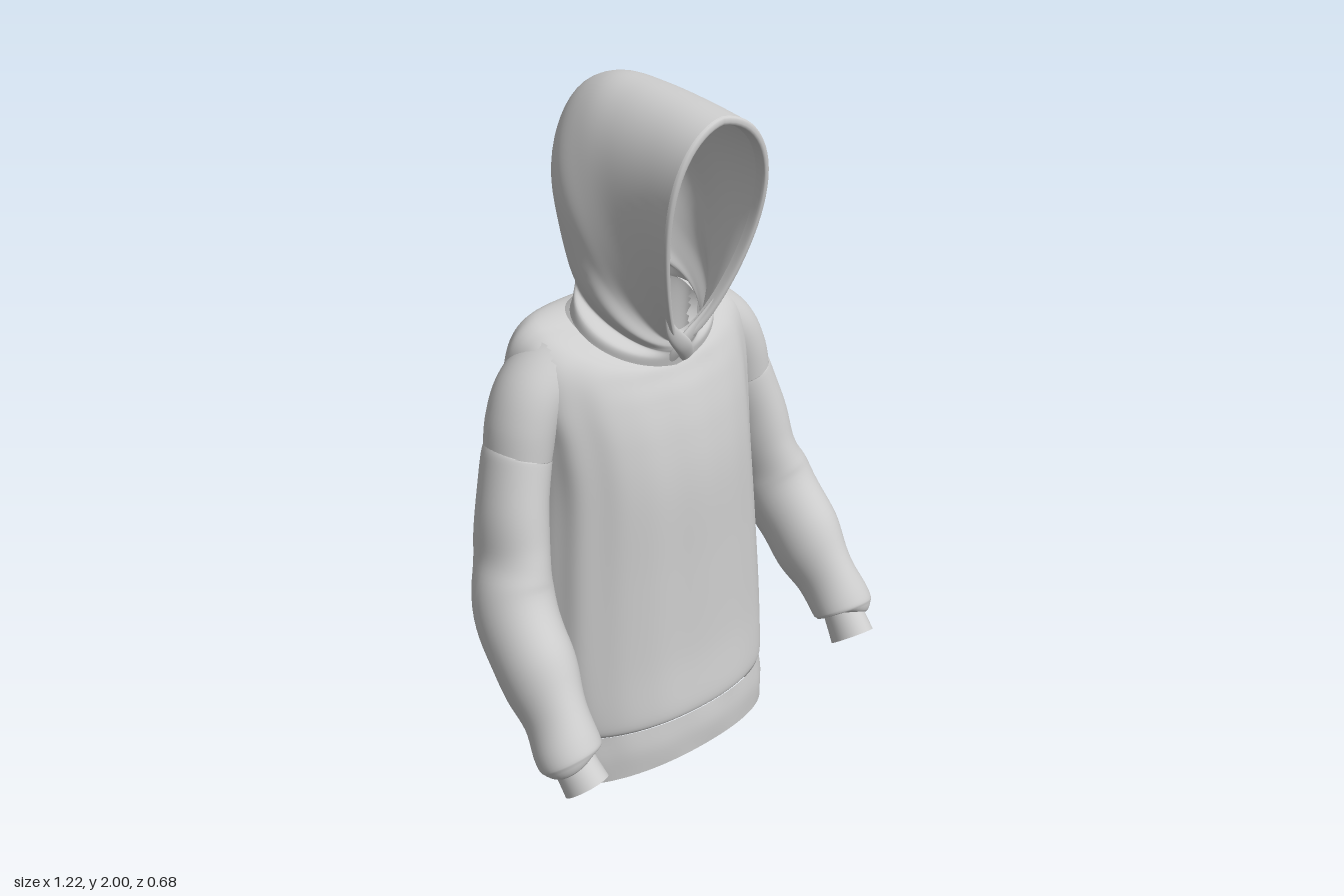
import * as THREE from 'three';

const cloth = new THREE.MeshStandardMaterial({ color: 0xcccccc, side: THREE.DoubleSide });
cloth.name = 'light grey cloth';

// Smooth interpolation through rows of numbers, t in 0..1
function sample(rows, t) {
  const f = Math.min(Math.max(t, 0), 1) * (rows.length - 1);
  const i = Math.min(Math.floor(f), rows.length - 2), k = f - i;
  const [a, b, c, d] = [i - 1, i, i + 1, i + 2].map(
    (n) => rows[Math.min(Math.max(n, 0), rows.length - 1)]);
  return b.map((_, j) => b[j] + 0.5 * k * (c[j] - a[j] + k * (2 * a[j] - 5 * b[j] + 4 * c[j] - d[j]
    + k * (3 * (b[j] - c[j]) + d[j] - a[j]))));
}

// Skin a surface through closed rings; point(t, angle) returns [x, y, z].
// Faces whose first corner satisfies cut(x, y, z) are left open.
function loft(name, point, rings, sides, cut = () => false) {
  const pos = [], idx = [];
  for (let i = 0; i <= rings; i++) {
    for (let j = 0; j < sides; j++) pos.push(...point(i / rings, (j / sides) * Math.PI * 2));
  }
  for (let i = 0; i < rings; i++) {
    for (let j = 0; j < sides; j++) {
      const a = i * sides + j, b = i * sides + (j + 1) % sides;
      if (cut(...pos.slice(a * 3, a * 3 + 3))) continue;
      idx.push(a, b, b + sides, a, b + sides, a + sides);
    }
  }
  const geo = new THREE.BufferGeometry();
  geo.setAttribute('position', new THREE.Float32BufferAttribute(pos, 3));
  geo.setIndex(idx);
  geo.computeVertexNormals();
  const mesh = new THREE.Mesh(geo, cloth);
  mesh.name = name;
  return mesh;
}

const softPow = (v, e) => Math.sign(v) * Math.abs(v) ** e;

// Torso ring rows: front y, side y, back y, half width, front z, middle z, back z,
// and the roundness of the back (lower is boxier)
function torsoLoft(name, rows, rings, fold, cut) {
  return loft(name, (t, a) => {
    const [yf, ys, yb, w, zf, zc, zb, round] = sample(rows, t);
    const front = Math.cos(a) > 0;
    const s = softPow(Math.sin(a), front ? 0.92 : round), c = softPow(Math.cos(a), front ? 0.95 : round);
    const ripple = 1 + fold * Math.sin(Math.PI * t) * (Math.sin(11 * a + 2 * t) + 0.7 * Math.sin(17 * a + 1));
    return [
      w * s * ripple,
      ys + (yf - yb) / 2 * c + ((yf + yb) / 2 - ys) * c * c,
      zc + (front ? zf - zc : zc - zb) * c * ripple,
    ];
  }, rings, 144, cut);
}

// Tube rows: x, y, z, radius across, radius in depth; side -1 mirrors it
function tubeLoft(name, rows, side, rings, fold = 0, cut = undefined) {
  const X = new THREE.Vector3(1, 0, 0);
  return loft(name, (t, a0) => {
    const a = a0 * side;
    const [x, y, z, rx, rz] = sample(rows, t);
    const p = sample(rows, t - 0.01), q = sample(rows, t + 0.01);
    const dir = new THREE.Vector3(q[0] - p[0], q[1] - p[1], q[2] - p[2]).normalize();
    const u = X.clone().addScaledVector(dir, -X.dot(dir)).normalize();
    const v = dir.clone().cross(u);
    const k = 1 + fold * Math.exp(-(((t - 0.42) / 0.22) ** 2)) * Math.sin(34 * t + 1.5 * Math.sin(a));
    const P = new THREE.Vector3(x, y, z)
      .addScaledVector(u, rx * k * Math.cos(a)).addScaledVector(v, rz * k * Math.sin(a));
    return [P.x * side, P.y, P.z];
  }, rings, 40, cut);
}

// Hood rows: chin z, chin y, crown z, crown y, half width, taper to the chin, forward bow
function hoodLoft(name, rows, rings, fold, ridge) {
  return loft(name, (t, a) => {
    const [cz, cy, pz, py, w, taper, bow] = sample(rows, t);
    const s = (1 - Math.cos(a)) / 2, dz = pz - cz, dy = py - cy, len = Math.hypot(dz, dy);
    const b = bow * Math.abs(Math.sin(a)), mid = Math.sin(Math.PI * t);
    const crease = 1 + fold * mid ** 2 * Math.sin(16 * t + 7 * s);
    const pinch = 1 - ridge * mid * s ** 4;
    return [
      w * Math.sin(a) * (1 + taper * (1.6 * s - 1)) * crease * pinch + 0.01 * Math.sin(Math.PI * s),
      cy + dy * s - b * dz / len,
      cz + dz * s + b * dy / len,
    ];
  }, rings, 72);
}

export function createModel() {
  const model = new THREE.Group();
  model.name = 'hoodie';

  // Body, open at the armholes, and the ribbed band below it
  model.add(torsoLoft('hemBand', [
    [0.12, 0.045, 0, 0.37, 0.2, -0.03, -0.21, 0.7],
    [0.19, 0.125, 0.065, 0.375, 0.203, -0.04, -0.245, 0.65],
    [0.255, 0.2, 0.13, 0.368, 0.196, -0.05, -0.268, 0.6],
  ], 8, 0.004));
  const armhole = (x, y, z) => Math.abs(x) > 0.3 && y > 1.09 && y < 1.27 && z > -0.19 && z < -0.06;
  model.add(torsoLoft('body', [
    [0.252, 0.197, 0.127, 0.364, 0.19, -0.05, -0.266, 0.6],
    [0.285, 0.24, 0.17, 0.38, 0.2, -0.06, -0.298, 0.5],
    [0.45, 0.42, 0.38, 0.385, 0.18, -0.07, -0.322, 0.42],
    [0.7, 0.7, 0.68, 0.367, 0.166, -0.08, -0.318, 0.38],
    [0.95, 0.95, 0.95, 0.347, 0.155, -0.09, -0.306, 0.38],
    [1.1, 1.1, 1.1, 0.35, 0.13, -0.1, -0.3, 0.4],
    [1.2, 1.22, 1.22, 0.362, 0.098, -0.12, -0.29, 0.48],
    [1.25, 1.33, 1.33, 0.35, 0.072, -0.13, -0.275, 0.6],
    [1.272, 1.382, 1.39, 0.295, 0.06, -0.125, -0.26, 0.72],
    [1.282, 1.385, 1.41, 0.2, 0.05, -0.11, -0.232, 0.9],
  ], 64, 0.007, armhole));

  // Hood, turning about the chin from the neckline to the face opening
  model.add(hoodLoft('hood', [
    [0.062, 1.274, -0.243, 1.406, 0.212, 0, 0.035],
    [0.067, 1.295, -0.245, 1.445, 0.202, 0, 0.035],
    [0.073, 1.315, -0.28, 1.5, 0.163, 0, 0.015],
    [0.078, 1.325, -0.322, 1.6, 0.171, 0, 0],
    [0.08, 1.335, -0.337, 1.73, 0.195, 0, 0],
    [0.08, 1.34, -0.325, 1.86, 0.213, 0.06, 0],
    [0.08, 1.345, -0.27, 1.95, 0.217, 0.18, 0],
    [0.08, 1.345, -0.17, 1.995, 0.207, 0.27, 0],
    [0.08, 1.345, -0.05, 1.995, 0.192, 0.32, 0.01],
    [0.08, 1.345, 0.1, 1.98, 0.176, 0.38, 0.02],
    [0.075, 1.34, 0.217, 1.962, 0.169, 0.42, 0.03],
  ], 60, 0.025, 0.25));
  model.add(hoodLoft('hoodRim', [
    [0.075, 1.34, 0.215, 1.963, 0.17, 0.42, 0.03],
    [0.083, 1.347, 0.222, 1.957, 0.165, 0.42, 0.03],
    [0.082, 1.365, 0.219, 1.942, 0.152, 0.42, 0.03],
    [0.06, 1.37, 0.19, 1.94, 0.15, 0.42, 0.03],
  ], 12, 0, 0));

  // Overlapping edges under the chin, one in front of the other
  const lap = (ahead, end) => [
    [-0.082, 1.45, 0.112, 0.004, 0.003],
    [-0.05, 1.39, 0.095 + ahead, 0.018, 0.008],
    [0, 1.335, 0.081 + ahead, 0.024, 0.01],
    [end, 1.29, 0.06 + ahead, 0.02, 0.008],
  ];
  model.add(tubeLoft('hoodFrontLap', lap(0.005, 0.035), 1, 20));
  model.add(tubeLoft('hoodBackLap', lap(-0.003, 0.015), -1, 20));

  // Dropped shoulders, sleeves and cuffs
  const insideBody = (x) => Math.abs(x) < 0.3;
  for (const side of [1, -1]) {
    const arm = new THREE.Group();
    arm.name = side > 0 ? 'leftArm' : 'rightArm';
    arm.add(tubeLoft('shoulder', [
      [0.25, 1.305, -0.13, 0.088, 0.1],
      [0.33, 1.235, -0.125, 0.092, 0.106],
      [0.373, 1.16, -0.118, 0.089, 0.104],
      [0.395, 1.08, -0.112, 0.084, 0.099],
    ], side, 24, 0, insideBody));
    arm.add(tubeLoft('sleeve', [
      [0.393, 1.09, -0.112, 0.082, 0.096],
      [0.4, 1.07, -0.11, 0.088, 0.101],
      [0.435, 0.95, -0.092, 0.088, 0.108],
      [0.455, 0.83, -0.072, 0.091, 0.12],
      [0.482, 0.73, -0.045, 0.101, 0.121],
      [0.5, 0.62, 0.03, 0.107, 0.124],
      [0.505, 0.53, 0.1, 0.097, 0.118],
      [0.512, 0.455, 0.165, 0.083, 0.1],
      [0.52, 0.39, 0.22, 0.09, 0.092],
      [0.52, 0.366, 0.238, 0.084, 0.083],
      [0.518, 0.358, 0.243, 0.055, 0.058],
    ], side, 60, 0.035));
    arm.add(tubeLoft('cuff', [
      [0.517, 0.372, 0.228, 0.055, 0.06],
      [0.514, 0.335, 0.257, 0.057, 0.066],
      [0.51, 0.3, 0.285, 0.06, 0.071],
    ], side, 8));
    model.add(arm);
  }
  return model;
}
